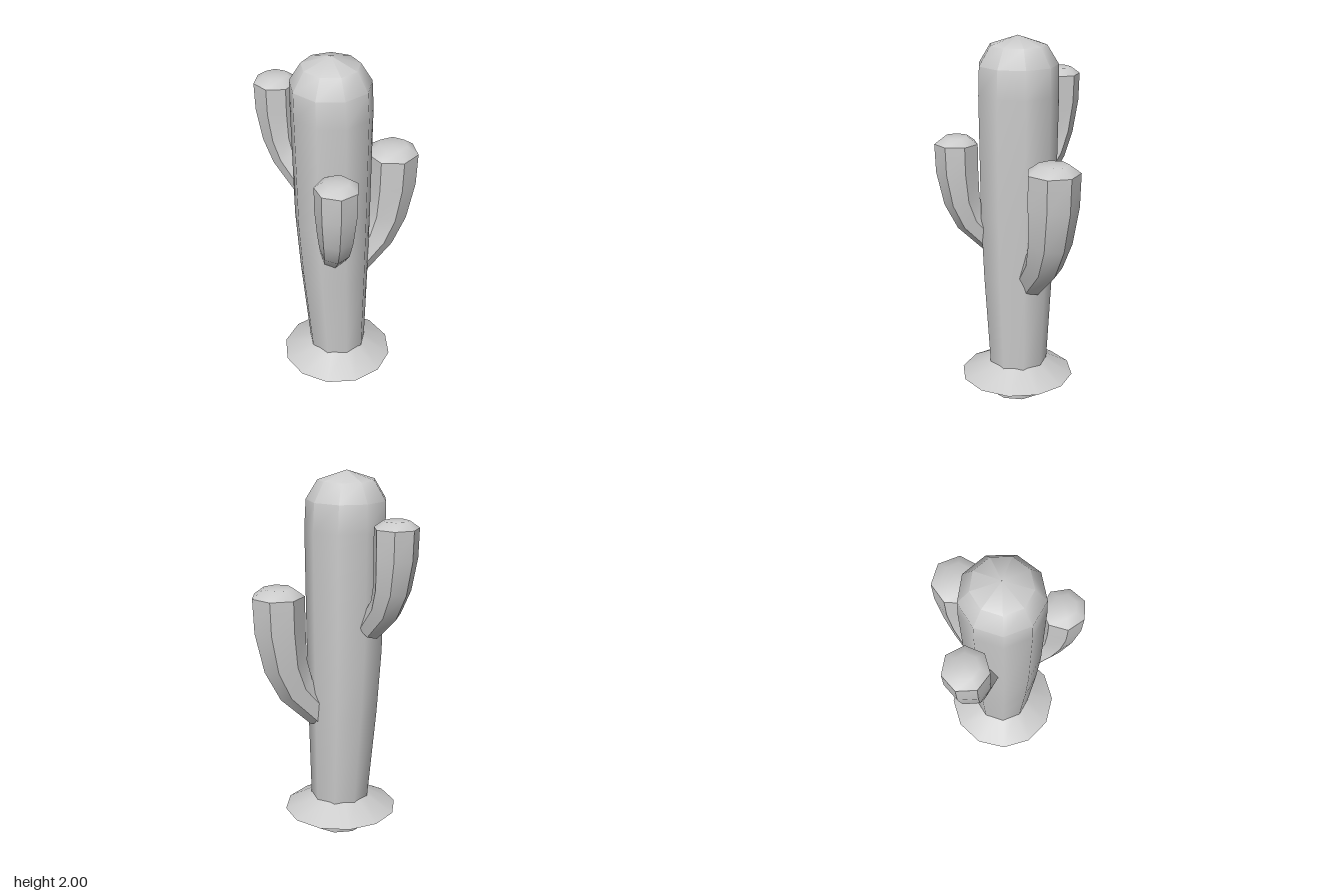
import * as THREE from 'three';
import { toCreasedNormals } from 'three/addons/utils/BufferGeometryUtils.js';

const material = new THREE.MeshStandardMaterial({ color: 0xcccccc, side: THREE.DoubleSide });

// Skin between rings of points, listed from bottom to top
function loft(rings) {
  const n = rings[0].length;
  const index = [];
  for (let i = 0; i < rings.length - 1; i++) {
    for (let j = 0; j < n; j++) {
      const a = i * n + j, b = i * n + (j + 1) % n;
      const c = a + n, d = b + n;
      index.push(a, c, b, b, c, d);
    }
  }
  const geometry = new THREE.BufferGeometry().setFromPoints(rings.flat());
  geometry.setIndex(index);
  return toCreasedNormals(geometry, 0.75);
}

function addMesh(group, name, geometry) {
  const mesh = new THREE.Mesh(geometry, material);
  mesh.name = name;
  group.add(mesh);
  return mesh;
}

// Trunk: nine sides, leaning slightly, open underneath, domed on top
function trunkGeometry() {
  const sides = 9, phase = THREE.MathUtils.degToRad(20);
  // centre x, y, centre z, radius
  const sections = [
    [0.045, 0, -0.035, 0.15],
    [0.038, 0.2, -0.038, 0.163],
    [0.02, 0.7, -0.032, 0.193],
    [0.01, 1.05, -0.03, 0.208],
    [0.005, 1.7, -0.03, 0.217],
    [0, 1.85, -0.03, 0.213],
    [0, 1.95, -0.03, 0.152],
    [0, 2, -0.03, 0.001],
  ];
  return loft(sections.map(([x, y, z, r]) =>
    Array.from({ length: sides }, (_, j) => {
      const a = phase + (j / sides) * Math.PI * 2;
      return new THREE.Vector3(x + r * Math.cos(a), y, z + r * Math.sin(a));
    })));
}

// Arm: seven-sided, leaving the trunk at a slant and bending upright.
// Proportions are in units of the rim radius R: inward shift, height from the rim, radius
const armProfile = [
  [1.6, -4.75, 0.001], [1.6, -4.75, 0.58], [0.62, -3.65, 0.73], [0.22, -2.65, 0.85],
  [0.03, -1.25, 0.98], [0, 0, 1], [0, 0.31, 0.57], [0, 0.31, 0.001],
];
const armTilt = [0.75, 0.75, 0.55, 0.25, 0.06, 0, 0, 0]; // lean of each ring, radians

function armGeometry({ x, z, rimY, R, phase }) {
  const sides = 7;
  const heading = Math.atan2(z + 0.03, x);
  const out = new THREE.Vector3(Math.cos(heading), 0, Math.sin(heading));
  const across = new THREE.Vector3(-out.z, 0, out.x);
  const start = THREE.MathUtils.degToRad(phase) - heading;
  return loft(armProfile.map(([inward, up, radius], i) => {
    const centre = new THREE.Vector3(x, rimY + up * R, z).addScaledVector(out, -inward * R);
    const normal = out.clone().multiplyScalar(Math.cos(armTilt[i]));
    normal.y = -Math.sin(armTilt[i]);
    return Array.from({ length: sides }, (_, j) => {
      const a = start + (j / sides) * Math.PI * 2;
      return centre.clone()
        .addScaledVector(normal, Math.cos(a) * radius * R)
        .addScaledVector(across, Math.sin(a) * radius * R);
    });
  }));
}

export function createModel() {
  const cactus = new THREE.Group();
  cactus.name = 'cactus';

  addMesh(cactus, 'trunk', trunkGeometry());

  // Flared ground skirt, a thin open cone
  const skirt = addMesh(cactus, 'groundSkirt',
    new THREE.CylinderGeometry(0.14, 0.312, 0.095, 12, 1, true));
  skirt.position.set(0.038, 0.1525, -0.035);

  const arms = [
    { name: 'leftArm', x: 0.3, z: -0.257, rimY: 1.36, R: 0.142, phase: -98 },
    { name: 'rightArm', x: -0.327, z: -0.207, rimY: 1.75, R: 0.117, phase: -104 },
    { name: 'frontArm', x: 0.09, z: 0.283, rimY: 1.44, R: 0.117, phase: -85 },
  ];
  for (const arm of arms) addMesh(cactus, arm.name, armGeometry(arm));

  return cactus;
}
